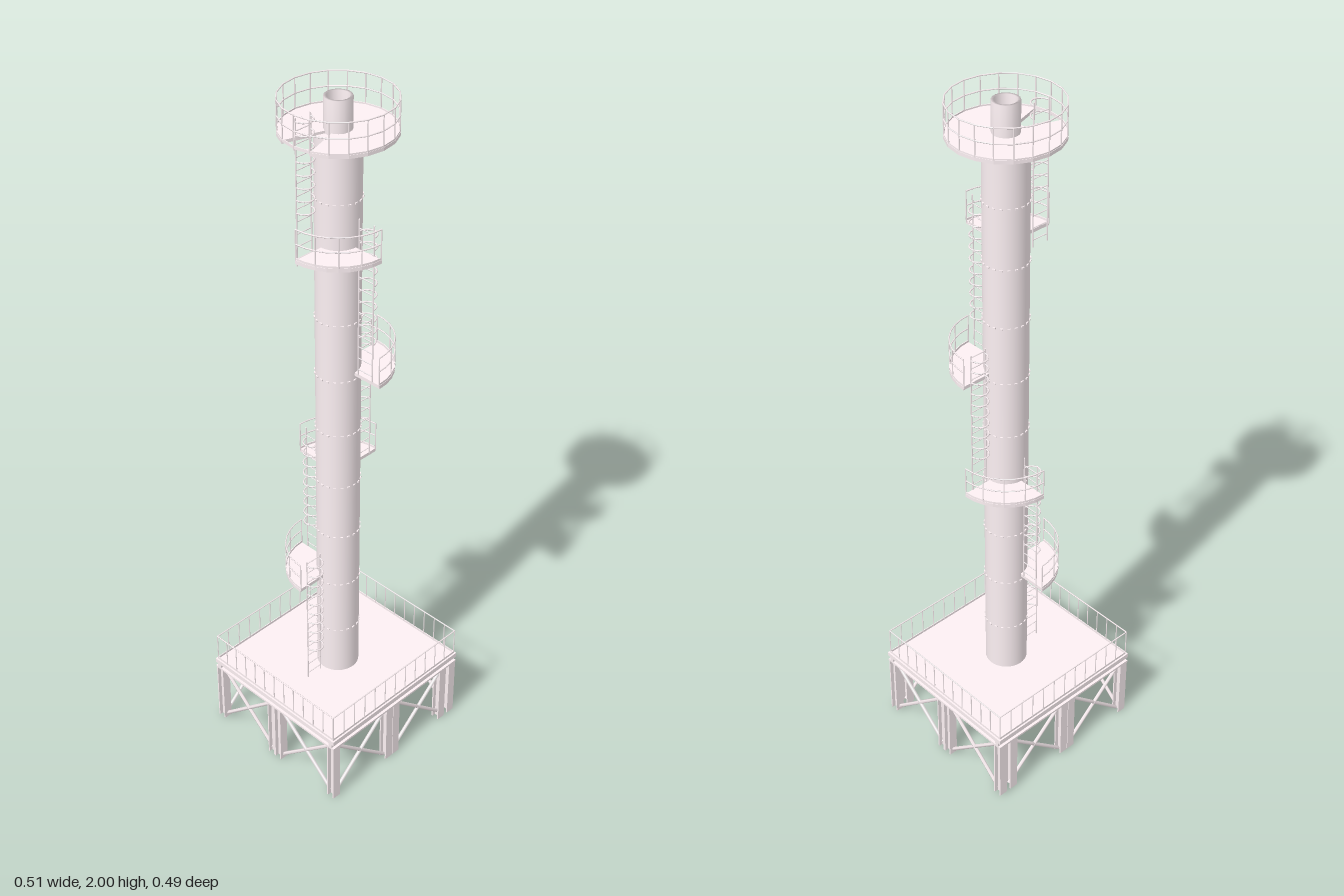
import * as THREE from 'three';
import { mergeGeometries } from 'three/addons/utils/BufferGeometryUtils.js';

const color = 0xfcf0f3;
const mat = new THREE.MeshStandardMaterial({ color });
const thin = new THREE.MeshStandardMaterial({ color, side: THREE.DoubleSide });
const V = (x, y, z) => new THREE.Vector3(x, y, z);
const polar = (a, r, y) => V(r * Math.cos(a), y, r * Math.sin(a));

function add(parent, name, geos, material = mat) {
  const list = [].concat(geos).map(g => (g.index ? g.toNonIndexed() : g));
  const mesh = new THREE.Mesh(mergeGeometries(list), material);
  mesh.name = name;
  parent.add(mesh);
}

// Box given by its centre and size
const box = (x, y, z, w, h, d) => new THREE.BoxGeometry(w, h, d).translate(x, y, z);

// Thin round bar between two points
function rod(a, b, r = 0.0015) {
  const d = b.clone().sub(a);
  const g = new THREE.CylinderGeometry(r, r, d.length(), 5);
  g.applyQuaternion(new THREE.Quaternion().setFromUnitVectors(V(0, 1, 0), d.clone().normalize()));
  return g.translate((a.x + b.x) / 2, (a.y + b.y) / 2, (a.z + b.z) / 2);
}

const chain = (pts, r) => pts.slice(1).map((p, i) => rod(pts[i], p, r));

// Angles from a0 to a1 in n steps (0 is +x, growing towards +z)
const steps = (a0, a1, n) => Array.from({ length: n + 1 }, (_, i) => a0 + (a1 - a0) * i / n);

// Flat ring sector whose top lies at y
function sector(a0, a1, n, r0, r1, y, h) {
  const angles = steps(a0, a1, n);
  const pt = (a, r) => new THREE.Vector2(r * Math.cos(a), r * Math.sin(a));
  const shape = new THREE.Shape([
    ...angles.map(a => pt(a, r1)), ...angles.reverse().map(a => pt(a, r0))]);
  return new THREE.ExtrudeGeometry(shape, { depth: h, bevelEnabled: false })
    .rotateX(Math.PI / 2).translate(0, y, 0);
}

// Curved guard rail: posts, two rails and a low toe board
function curvedRail(parent, a0, a1, n, r, y, postEvery) {
  const angles = steps(a0, a1, n);
  const bars = [];
  for (const h of [0.043, 0.083]) bars.push(...chain(angles.map(a => polar(a, r, y + h)), 0.002));
  angles.forEach((a, i) => {
    if (i % postEvery === 0) bars.push(rod(polar(a, r, y - 0.005), polar(a, r, y + 0.083), 0.0018));
  });
  add(parent, 'guardRail', bars);
  add(parent, 'toeBoard', sector(a0, a1, n, r - 0.001, r + 0.001, y + 0.006, 0.008));
}

// Caged ladder on the -x side, with the cage bulging to +z
function ladder(parent, y0, y1, cageStart, z) {
  const g = new THREE.Group();
  g.name = 'cagedLadder';
  const x0 = -0.122, x1 = -0.072, bars = [], cage = [];
  for (const x of [x0, x1]) bars.push(rod(V(x, y0, z), V(x, y1, z), 0.002));
  for (let y = y0 + 0.02; y < y1; y += 0.034) bars.push(rod(V(x0, y, z), V(x1, y, z)));
  add(g, 'ladderRailsAndRungs', bars);
  const hoop = (a, y) => V(-0.097 + 0.025 * Math.cos(a), y, z + 0.028 * Math.sin(a));
  for (let y = cageStart; y < y1; y += 0.034)
    cage.push(...chain(steps(0, Math.PI, 8).map(a => hoop(a, y)), 0.0022));
  add(g, 'ladderCage', cage);
  parent.add(g);
}

// H-section post
const post = (x, z, h, s = 0.026) => [
  box(x, h / 2, z - s / 2 + 0.002, s, h, 0.004),
  box(x, h / 2, z + s / 2 - 0.002, s, h, 0.004),
  box(x, h / 2, z, 0.004, h, s - 0.008)];

function buildBase(root) {
  const base = new THREE.Group();
  base.name = 'base';
  base.position.z = -0.002;
  const X = 0.242, Z = 0.229, H = 0.195;

  // Legs around the edge
  const legs = [], braces = [];
  const xs = [-X, -0.026, 0.002, 0.202, X], zs = [-0.013, 0.013];
  for (const s of [-1, 1]) {
    for (const x of xs) legs.push(...post(x, s * Z, H));
    for (const z of zs) legs.push(...post(s * X, z, H));
  }
  add(base, 'legs', legs);

  // Crossed braces in every bay
  const cross = (a, b) => {
    const at = (p, y) => V(p.x, y, p.z);
    braces.push(rod(at(a, 0.012), at(b, 0.188), 0.0055), rod(at(a, 0.188), at(b, 0.012), 0.0055));
  };
  for (const s of [-1, 1]) {
    cross(V(-X + 0.012, 0, s * Z), V(-0.036, 0, s * Z));
    cross(V(0.012, 0, s * Z), V(0.21, 0, s * Z));
    for (const t of [-1, 1]) cross(V(s * X, 0, t * 0.022), V(s * X, 0, t * 0.218));
  }
  add(base, 'crossBraces', braces);

  // Edge beams with wider flanges, and the deck
  const beams = [];
  for (const s of [-1, 1]) {
    for (const [y, h, w] of [[0.196, 0.006, 0.028], [0.205, 0.014, 0.012], [0.213, 0.004, 0.028]]) {
      beams.push(box(0, y, s * Z, 0.512, h, w), box(s * X, y, 0, w, h, 0.43));
    }
  }
  add(base, 'edgeBeams', beams);
  add(base, 'deck', box(0, 0.2205, 0, 0.514, 0.011, 0.486));

  // Straight railing
  const rx = 0.251, rz = 0.237, top = 0.312, bars = [], toe = [], n = 12;
  const c = [[-rx, -rz], [rx, -rz], [rx, rz], [-rx, rz]];
  c.forEach(([ax, az], i) => {
    const [bx, bz] = c[(i + 1) % 4];
    bars.push(rod(V(ax, top, az), V(bx, top, bz), 0.002));
    for (let k = 0; k < n; k++) {
      const x = ax + (bx - ax) * k / n, z = az + (bz - az) * k / n;
      bars.push(rod(V(x, 0.225, z), V(x, top, z), 0.0016));
    }
    toe.push(box((ax + bx) / 2, 0.229, (az + bz) / 2,
      Math.abs(bx - ax) + 0.002, 0.008, Math.abs(bz - az) + 0.002));
  });
  add(base, 'deckRailing', bars);
  add(base, 'deckToeBoards', toe);
  root.add(base);
}

function buildStack(tower) {
  const R = 0.06, y0 = 0.225, y1 = 1.91;
  add(tower, 'stackShell', new THREE.CylinderGeometry(R, R, y1 - y0, 32).translate(0, (y0 + y1) / 2, 0));

  // Bolted seams up the shell
  const bolts = [];
  for (let y = 0.38; y < 1.8; y += 0.17)
    for (let i = 0; i < 20; i++)
      bolts.push(box(R, y, 0, 0.006, 0.004, 0.008).rotateY(i * Math.PI / 10));
  add(tower, 'seamBolts', bolts);

  // Open outlet pipe
  const profile = [[0.036, 1.905], [0.036, 2], [0.029, 2], [0.029, 1.91]];
  add(tower, 'outletPipe',
    new THREE.LatheGeometry(profile.map(q => new THREE.Vector2(...q)), 16), thin);
}

export function createModel() {
  const root = new THREE.Group();
  root.name = 'chimneyStack';
  buildBase(root);

  const tower = new THREE.Group();
  tower.name = 'tower';
  tower.position.set(0.002, 0, 0.003);
  root.add(tower);
  buildStack(tower);

  // Quarter landings and ladders winding up the stack
  const floors = [0.225, 0.573, 0.905, 1.252, 1.618, 1.917];
  for (let k = 0; k < 5; k++) {
    const flight = new THREE.Group();
    flight.name = 'flight' + (k + 1);
    flight.rotation.y = -k * Math.PI / 2;
    const last = k === 4, y = floors[k + 1];
    ladder(flight, floors[k] - (last ? 0.035 : 0.004), last ? 1.975 : y + 0.083,
      floors[k] + 0.11, last ? -0.02 : 0);
    if (!last) {
      add(flight, 'landing', sector(Math.PI, Math.PI * 1.5, 8, 0.058, 0.148, y, 0.01));
      curvedRail(flight, Math.PI, Math.PI * 1.5, 8, 0.146, y, 2);
    }
    tower.add(flight);
  }

  // Round top platform with a gap for the ladder
  const top = new THREE.Group();
  top.name = 'topPlatform';
  const gap = Math.PI / 10;
  add(top, 'topDeck', sector(Math.PI + gap, Math.PI * 3 - gap, 18, 0.03, 0.149, 1.917, 0.009));
  curvedRail(top, 0, Math.PI * 2, 20, 0.147, 1.915, 1);
  tower.add(top);
  return root;
}
